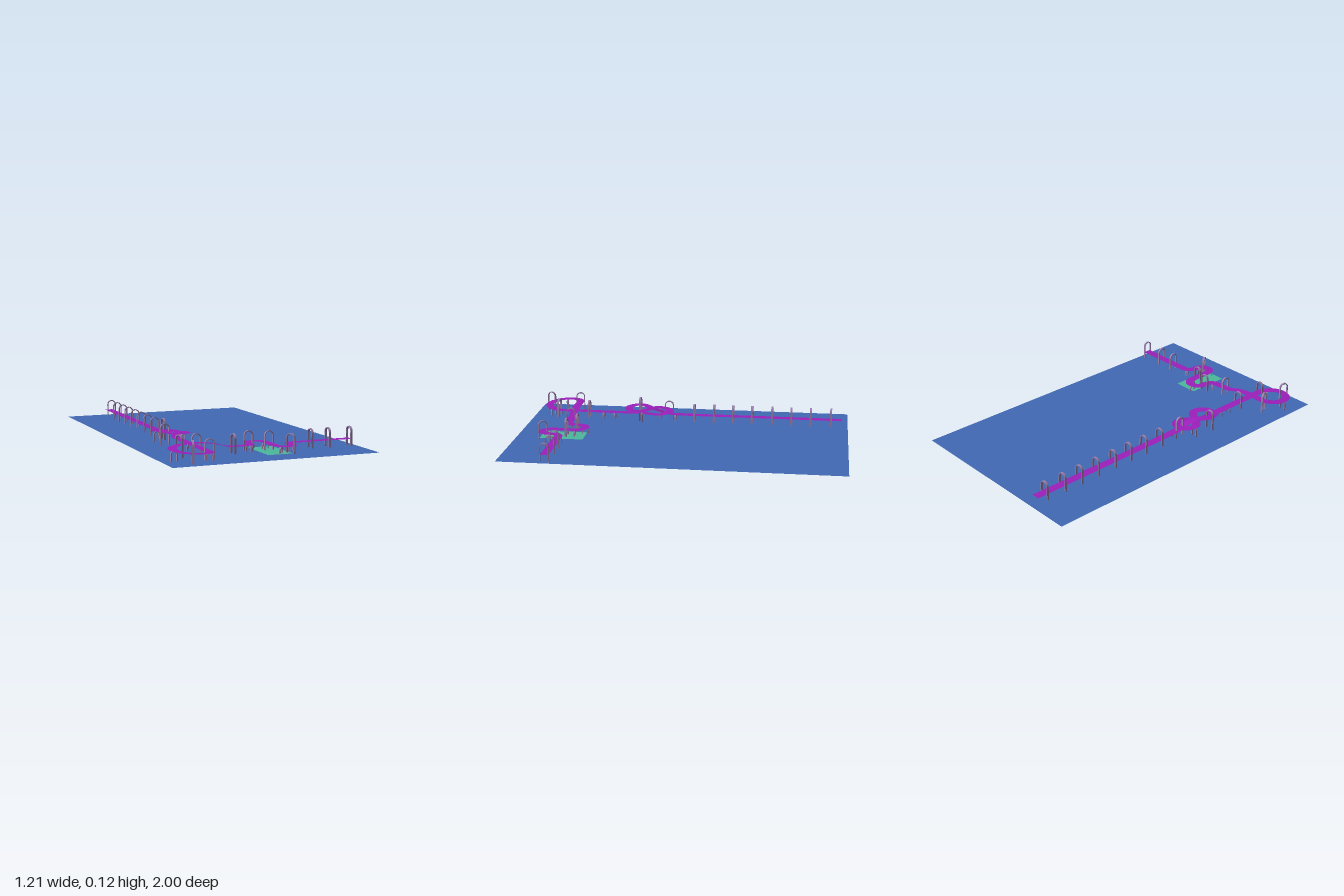
import * as THREE from 'three';

const HALF = 0.025; // half the track width
const mat = (color) => new THREE.MeshStandardMaterial({ color, side: THREE.DoubleSide });

// Points on a level or climbing arc, angles in degrees (90 points to +z)
function arc(cx, cz, r, a0, a1, y0 = 0.04, y1 = y0) {
  const n = Math.max(4, Math.ceil(Math.abs(a1 - a0) / 22));
  return Array.from({ length: n + 1 }, (_, i) => {
    const t = i / n, a = THREE.MathUtils.degToRad(a0 + (a1 - a0) * t);
    return [cx + r * Math.cos(a), y0 + (y1 - y0) * t, cz + r * Math.sin(a)];
  });
}

// Centre line: straight, S-bend, bridge loop, figure eight, long straight
function trackCurve() {
  const pts = [
    [0.575, 0.04, 0.72], [0.4, 0.04, 0.72], [0.26, 0.04, 0.72],
    ...arc(0.22, 0.77, 0.05, -90, -180),
    ...arc(0.1225, 0.79, 0.0475, 0, 180),
    [0.075, 0.04, 0.72],
    ...arc(0.0225, 0.65, 0.0525, 0, -180),
    ...arc(-0.08, 0.67, 0.05, 0, 90),
    [-0.13, 0.04, 0.722], [-0.18, 0.042, 0.724], [-0.25, 0.06, 0.725], [-0.335, 0.071, 0.725],
    ...arc(-0.435, 0.825, 0.1, -90, -360, 0.071, 0.04),
    [-0.335, 0.04, 0.75], [-0.335, 0.04, 0.6], [-0.335, 0.04, 0.44], [-0.335, 0.04, 0.36],
    [-0.328, 0.043, 0.3],
    ...arc(-0.337, 0.19, 0.063, 30, -200, 0.05, 0.064),
    ...arc(-0.337, 0.325, 0.063, -20, 200, 0.067, 0.077),
    [-0.355, 0.074, 0.25], [-0.336, 0.06, 0.19], [-0.335, 0.043, 0.12], [-0.335, 0.04, 0.05],
    [-0.335, 0.04, -0.4], [-0.335, 0.04, -0.96],
  ];
  return new THREE.CatmullRomCurve3(pts.map((p) => new THREE.Vector3(...p)));
}

// Flat ribbon swept along the curve
function ribbon(curve, n) {
  const pos = [], idx = [], up = new THREE.Vector3(0, 1, 0);
  for (let i = 0; i <= n; i++) {
    const p = curve.getPointAt(i / n);
    const side = curve.getTangentAt(i / n).cross(up).normalize().multiplyScalar(HALF);
    pos.push(...p.clone().sub(side).toArray(), ...p.clone().add(side).toArray());
    const a = i * 2;
    if (i < n) idx.push(a, a + 1, a + 2, a + 1, a + 3, a + 2);
  }
  const g = new THREE.BufferGeometry();
  g.setAttribute('position', new THREE.Float32BufferAttribute(pos, 3));
  g.setIndex(idx);
  g.computeVertexNormals();
  return g;
}

// Round-topped hoop standing on the ground
function hoop(height, r, wall, depth) {
  const inner = r - wall, cy = height - r;
  const s = new THREE.Shape();
  s.moveTo(r, 0);
  s.lineTo(r, cy);
  s.absarc(0, cy, r, 0, Math.PI, false);
  s.lineTo(-r, 0);
  s.lineTo(-inner, 0);
  s.lineTo(-inner, cy);
  s.absarc(0, cy, inner, Math.PI, 0, true);
  s.lineTo(inner, 0);
  const g = new THREE.ExtrudeGeometry(s, { depth, bevelEnabled: false, curveSegments: 10 });
  return g.translate(0, 0, -depth / 2);
}

export function createModel() {
  const model = new THREE.Group();
  const add = (name, geometry, material, parent = model) => {
    const m = new THREE.Mesh(geometry, material);
    m.name = name;
    parent.add(m);
    return m;
  };

  // Ground sheet and the patch under the S-bend
  add('ground', new THREE.PlaneGeometry(1.21, 2).rotateX(-Math.PI / 2), mat(0x4169b5));
  add('patch', new THREE.PlaneGeometry(0.147, 0.265).rotateX(-Math.PI / 2), mat(0x4cb89c))
    .position.set(0.073, 0.002, 0.722);

  // Track
  const curve = trackCurve();
  curve.arcLengthDivisions = 1000;
  add('track', ribbon(curve, 500), mat(0x9c1fbb));

  // Put a hoop across the track at the sample nearest to x, z
  const samples = curve.getSpacedPoints(800);
  const hoopMat = mat(0x9a80ad);
  const place = (name, parent, x, z, makeGeometry) => {
    let best = 0;
    samples.forEach((p, i) => {
      const q = samples[best];
      if (Math.hypot(p.x - x, p.z - z) < Math.hypot(q.x - x, q.z - z)) best = i;
    });
    const p = samples[best], t = curve.getTangentAt(best / 800);
    const m = add(name, makeGeometry(p.y), hoopMat, parent);
    m.position.set(p.x, 0, p.z);
    m.rotation.y = Math.atan2(t.x, t.z);
  };

  // Tall hoops over the track
  const arches = new THREE.Group();
  arches.name = 'arches';
  model.add(arches);
  const archSpots = [
    [0.57, 0.72], [0.435, 0.72], [0.325, 0.72], [0.145, 0.83], [0.075, 0.7], [-0.03, 0.66],
    [-0.15, 0.723], [-0.465, 0.73], [-0.465, 0.92], [-0.335, 0.84], [-0.335, 0.645],
    [-0.4, 0.32], [-0.337, 0.127],
  ];
  for (let i = 0; i < 8; i++) archSpots.push([-0.335, -0.035 - i * 0.1225]);
  for (const [x, z] of archSpots) {
    place('arch', arches, x, z, (y) => hoop(Math.min(y + 0.071, 0.125), 0.028, 0.005, 0.012));
  }

  // Low supports below the track
  const supports = new THREE.Group();
  supports.name = 'supports';
  model.add(supports);
  const supportSpots = [
    [0.2, 0.725], [0.17, 0.79], [0.09, 0.825], [0.075, 0.65], [0.02, 0.6], [-0.05, 0.71],
    [-0.335, 0.9], [-0.53, 0.83], [-0.335, 0.55], [-0.335, 0.48], [-0.28, 0.3],
    [-0.39, 0.19], [-0.335, 0.085],
  ];
  for (const [x, z] of supportSpots) {
    place('support', supports, x, z, (y) => hoop(y - 0.002, 0.02, 0.005, 0.01));
  }
  return model;
}
